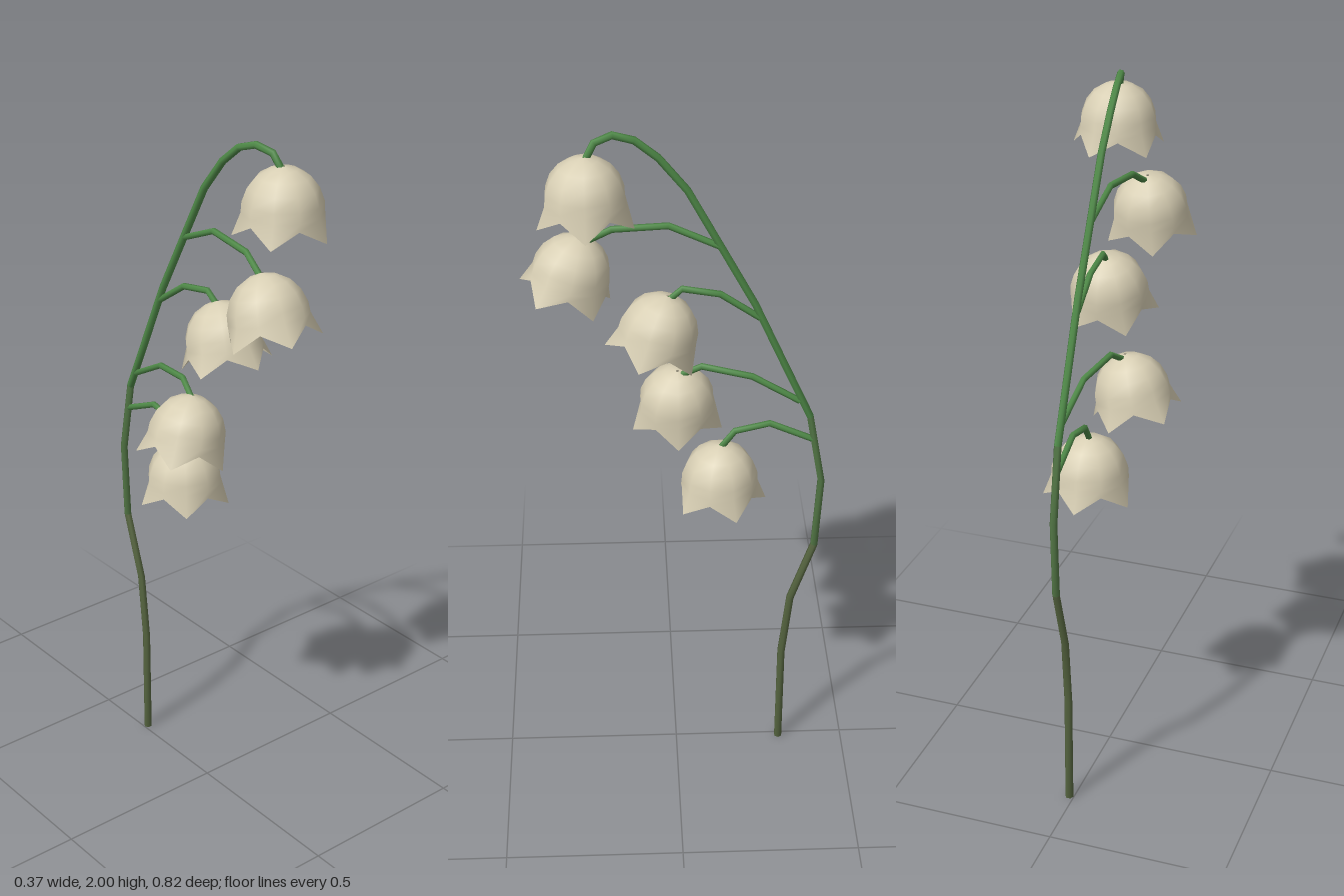
import * as THREE from 'three';

const mat = (name, color, side = THREE.FrontSide) => {
  const m = new THREE.MeshStandardMaterial({ color, side });
  m.name = name;
  return m;
};

// Smooth surface from rings of equal length
function loft(rings) {
  const n = rings[0].length, index = [];
  for (let i = 0; i < rings.length - 1; i++) {
    for (let j = 0; j < n; j++) {
      const a = i * n + j, b = i * n + (j + 1) % n;
      index.push(a, a + n, b, b, a + n, b + n);
    }
  }
  const g = new THREE.BufferGeometry();
  g.setAttribute('position', new THREE.Float32BufferAttribute(rings.flat(2), 3));
  g.setIndex(index);
  g.computeVertexNormals();
  return g;
}

// Six-sided stalk along points, tapering from r0 to r1, closed at both ends
function stalk(points, r0, r1) {
  const p = points.map(a => new THREE.Vector3(...a));
  const last = p.length - 1, rings = [];
  p.forEach((c, i) => {
    const t = p[Math.min(i + 1, last)].clone().sub(p[Math.max(i - 1, 0)]).normalize();
    const v = t.clone().cross(new THREE.Vector3(1, 0, 0)).normalize();
    const u = v.clone().cross(t);
    const ring = r => Array.from({ length: 6 }, (_, j) => {
      const a = -j / 6 * Math.PI * 2;
      return c.clone().addScaledVector(u, r * Math.cos(a)).addScaledVector(v, r * Math.sin(a)).toArray();
    });
    if (i === 0) rings.push(ring(0));
    rings.push(ring(r0 + (r1 - r0) * i / last));
    if (i === last) rings.push(ring(0));
  });
  return loft(rings);
}

// Hanging bell: a dome, then a rim of five flared points; apex at the origin
function bellGeometry() {
  const profile = [[0.004, 0], [0.036, -0.007], [0.068, -0.026], [0.091, -0.055], [0.104, -0.09], [0.106, -0.118]];
  const ring = f => Array.from({ length: 10 }, (_, j) => {
    const [r, y] = f(j % 2 === 0);
    const a = -j / 10 * Math.PI * 2;
    return [r * Math.cos(a), y, -r * Math.sin(a)];
  });
  const rings = profile.map(row => ring(() => row));
  rings.push(ring(tip => (tip ? [0.129, -0.178] : [0.105, -0.138])));
  // Reversed so the faces point outward
  return loft(rings.map(r => r.reverse()));
}

export function createModel() {
  const model = new THREE.Group();
  model.name = 'bellFlower';
  const green = mat('leafGreen', 0x4f8a48);
  const midGreen = mat('mossGreen', 0x527645);
  const olive = mat('oliveStem', 0x566540);
  const cream = mat('creamPetal', 0xd8cfb4, THREE.DoubleSide);

  const add = (name, geometry, material) => {
    const mesh = new THREE.Mesh(geometry, material);
    mesh.name = name;
    model.add(mesh);
    return mesh;
  };

  // Main stem in three shades, from the base to the drooping tip
  const x = 0.013;
  add('lowerStem', stalk([[x, 0, -0.31], [x, 0.33, -0.31], [x, 0.53, -0.33], [x, 0.72, -0.392]], 0.012, 0.011), olive);
  add('middleStem', stalk([[x, 0.72, -0.392], [x, 0.94, -0.403], [x, 1.15, -0.365]], 0.011, 0.0105), midGreen);
  add('upperStem', stalk([
    [x, 1.15, -0.365], [x, 1.32, -0.288], [x, 1.5, -0.207], [x, 1.67, -0.115], [x, 1.83, -0.028],
    [0.014, 1.92, 0.045], [0.018, 1.97, 0.105], [0.026, 1.988, 0.16], [0.042, 1.975, 0.205], [0.055, 1.93, 0.23],
  ], 0.0105, 0.01), green);

  // Side stalks, top to bottom
  [
    [[x, 1.67, -0.115], [0.005, 1.728, 0.02], [-0.006, 1.715, 0.165], [-0.02, 1.67, 0.243]],
    [[x, 1.46, -0.22], [x, 1.532, -0.115], [0.014, 1.55, -0.015], [0.018, 1.515, 0.025]],
    [[x, 1.2, -0.335], [0, 1.272, -0.205], [-0.028, 1.29, -0.07], [-0.045, 1.25, -0.005]],
    [[x, 1.075, -0.378], [x, 1.13, -0.255], [0.014, 1.108, -0.16], [0.015, 1.05, -0.118]],
  ].forEach((pts, i) => add(`sideStalk${i + 1}`, stalk(pts, 0.009, 0.009), green));

  // Bells: apex position, turn about the axis in degrees, tilt about x and z
  const bell = bellGeometry();
  [
    [[0.057, 1.945, 0.23], 0, 0, 0],
    [[-0.022, 1.688, 0.245], 180, -0.26, 0],
    [[0.018, 1.532, 0.022], 54, -0.24, 0],
    [[-0.045, 1.267, -0.005], 0, 0, -0.2],
    [[0.015, 1.065, -0.12], 18, 0, 0],
  ].forEach(([pos, turn, tiltX, tiltZ], i) => {
    const m = add(`bell${i + 1}`, bell, cream);
    m.position.set(...pos);
    m.rotation.set(tiltX, THREE.MathUtils.degToRad(turn), tiltZ, 'XZY');
  });
  return model;
}
